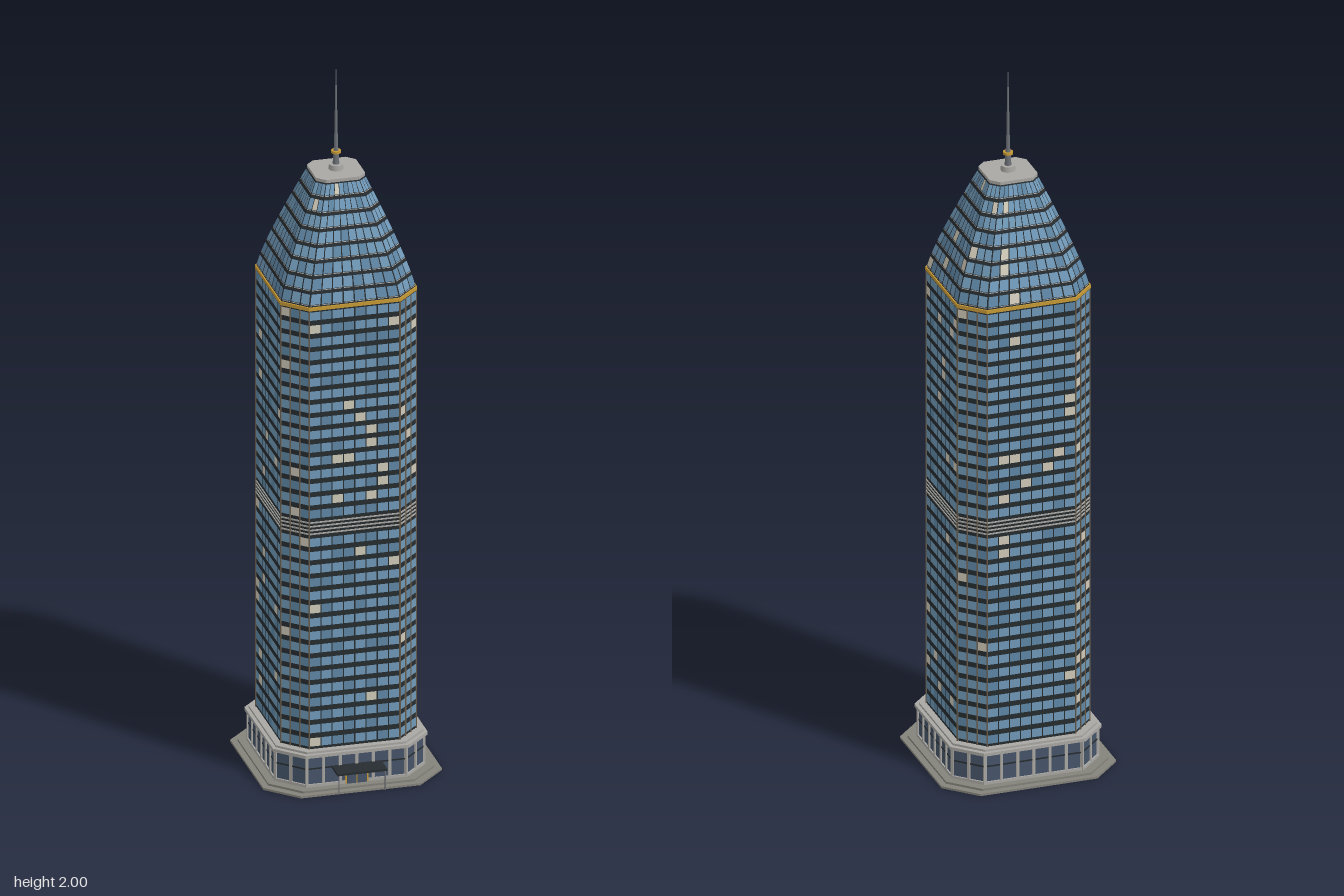
import * as THREE from 'three';

const mat = (name, color) => {
  const m = new THREE.MeshStandardMaterial({ color });
  m.name = name;
  return m;
};

export function createModel() {
  const model = new THREE.Group();
  model.name = 'skyscraper';
  const tower = new THREE.Group();
  tower.name = 'tower';
  tower.position.z = -0.0105;
  model.add(tower);

  const M = {
    plaza: mat('plazaStone', 0x85837b),
    stone: mat('paleStone', 0xa9a8a4),
    frame: mat('darkFrame', 0x262c30),
    glass: mat('blueGlass', 0x7099b8),
    glass2: mat('deepBlueGlass', 0x5f87a6),
    lit: mat('litWindow', 0xcfc9b8),
    lobby: mat('lobbyGlass', 0x46556a),
    gold: mat('gold', 0xc79a35),
    bronze: mat('bronze', 0x6e6251),
    metal: mat('spireMetal', 0x6c7076),
  };

  let seed = 7;
  const rand = () => (seed = (seed * 16807) % 2147483647) / 2147483647;

  const add = (name, geo, material, x = 0, y = 0, z = 0, parent = tower) => {
    const m = new THREE.Mesh(geo, material);
    m.name = name;
    m.position.set(x, y, z);
    parent.add(m);
    return m;
  };

  // Chamfered square outline, starting at the front left
  const ring = (h, y, cut = 0.33) => {
    const c = h * (1 - cut);
    return [[-c, h], [c, h], [h, c], [h, -c], [c, -h], [-c, -h], [-h, -c], [-h, c]]
      .map(([x, z]) => new THREE.Vector3(x, y, z));
  };
  const toGeometry = (points) => {
    const g = new THREE.BufferGeometry().setFromPoints(points);
    g.computeVertexNormals();
    return g;
  };
  const quad = (out, a, b, c, d) => out.push(a, b, c, a, c, d);

  // Closed solid through a stack of outlines
  const loft = (rings) => {
    const out = [];
    for (let k = 0; k < rings.length - 1; k++)
      for (let i = 0; i < 8; i++) {
        const j = (i + 1) % 8;
        quad(out, rings[k][i], rings[k][j], rings[k + 1][j], rings[k + 1][i]);
      }
    const lo = rings[0], hi = rings[rings.length - 1];
    for (let i = 1; i < 7; i++) out.push(hi[0], hi[i], hi[i + 1], lo[0], lo[i + 1], lo[i]);
    return toGeometry(out);
  };
  const slab = (name, h, y0, y1, material, cut) =>
    add(name, loft([ring(h, y0, cut), ring(h, y1, cut)]), material);

  // A pane lying just outside one wall, between fractions u and v of that wall
  const pane = (out, lo, hi, i, u0, u1, v0, v1, lift = 0.0012) => {
    const j = (i + 1) % 8;
    const at = (u, v) => lo[i].clone().lerp(lo[j], u).lerp(hi[i].clone().lerp(hi[j], u), v);
    const p = [at(u0, v0), at(u1, v0), at(u1, v1), at(u0, v1)];
    const n = p[1].clone().sub(p[0]).cross(p[3].clone().sub(p[0])).setLength(lift);
    quad(out, ...p.map((q) => q.add(n)));
  };
  const bays = (i) => (i % 2 ? 3 : 8);
  const windows = { glass: [], glass2: [], lit: [] };
  const glaze = (lo, hi, v0, v1, gap) => {
    for (let i = 0; i < 8; i++)
      for (let b = 0, n = bays(i); b < n; b++) {
        const r = rand();
        const kind = r < 0.045 ? 'lit' : r < 0.35 ? 'glass2' : 'glass';
        pane(windows[kind], lo, hi, i, (b + gap) / n, (b + 1 - gap) / n, v0, v1);
      }
  };

  // Stepped plaza
  slab('plazaLower', 0.247, 0, 0.006, M.plaza);
  slab('plazaUpper', 0.23, 0.006, 0.012, M.plaza);

  // Podium with glazing, piers and cornice
  slab('podiumGlass', 0.205, 0.012, 0.1, M.lobby);
  slab('podiumPlinth', 0.209, 0.012, 0.02, M.stone);
  slab('podiumTransom', 0.2065, 0.062, 0.066, M.frame);
  slab('podiumCornice', 0.214, 0.098, 0.107, M.stone);
  slab('podiumRoof', 0.204, 0.107, 0.113, M.stone);
  const wall = ring(0.205, 0.055);
  for (let i = 0; i < 8; i++) {
    const a = wall[i], b = wall[(i + 1) % 8], n = i % 2 ? 2 : 6;
    for (let k = 0; k < n; k++) {
      const p = a.clone().lerp(b, k / n);
      const pier = add('podiumPier', new THREE.BoxGeometry(0.008, 0.088, 0.008), M.stone, p.x, 0.056, p.z);
      pier.rotation.y = (i * Math.PI) / 4;
    }
  }

  // Main entrance and canopy
  add('entranceFrame', new THREE.BoxGeometry(0.064, 0.04, 0.008), M.gold, 0, 0.032, 0.206);
  for (const s of [-1, 1])
    add('entranceDoor', new THREE.BoxGeometry(0.025, 0.032, 0.006), M.lobby, s * 0.0145, 0.028, 0.2085);
  add('canopy', new THREE.BoxGeometry(0.138, 0.006, 0.062), M.frame, 0, 0.064, 0.2345);
  for (const s of [-1, 1])
    add('canopyPost', new THREE.CylinderGeometry(0.0018, 0.0018, 0.058, 6), M.metal, s * 0.064, 0.034, 0.2615);

  // Shaft: dark core carrying two blocks of 16 floors around a plant level
  const H = 0.186, base = 0.113, top = 1.392, mid0 = 0.733, mid1 = 0.777;
  slab('shaftCore', H, base, top, M.frame);
  for (const [y0, y1] of [[base, mid0], [mid1, top]]) {
    const step = (y1 - y0) / 16;
    for (let f = 0; f < 16; f++)
      glaze(ring(H, y0 + f * step), ring(H, y0 + (f + 1) * step), 0.2, 0.83, 0.05);
  }

  // Plant level louvres
  for (let k = 0; k < 4; k++)
    slab('plantLouvre', H + 0.002, mid0 + 0.004 + k * 0.011, mid0 + 0.008 + k * 0.011, M.stone);

  // Slender fins on the chamfered corners
  const edge = ring(H + 0.001, 0);
  for (let i = 1; i < 8; i += 2)
    for (let k = 0; k <= 3; k++) {
      const p = edge[i].clone().lerp(edge[(i + 1) % 8], k / 3);
      const fin = add('cornerFin', new THREE.BoxGeometry(0.003, top - base, 0.004), M.bronze, p.x, (top + base) / 2, p.z);
      fin.rotation.y = (i * Math.PI) / 4;
    }

  // Gold belt under the crown
  slab('goldBelt', 0.1895, 1.39, 1.4, M.gold);

  // Tapering crown with a slightly bowed profile
  const tiers = 8, crown = [];
  for (let k = 0; k <= tiers; k++) {
    const t = k / tiers;
    crown.push(ring(0.186 - 0.119 * Math.pow(t, 1.18), 1.4 + 0.305 * t));
  }
  add('crownCore', loft(crown), M.frame);
  const sills = [];
  for (let k = 0; k < tiers; k++) {
    glaze(crown[k], crown[k + 1], 0.16, 0.86, 0.06);
    for (let i = 0; i < 8; i++)
      for (let b = 0, n = bays(i); b < n; b++)
        pane(sills, crown[k], crown[k + 1], i, (b + 0.08) / n, (b + 0.92) / n, 0.08, 0.13);
  }
  add('crownSills', toGeometry(sills), M.stone);
  for (const kind in windows) add(kind + 'Windows', toGeometry(windows[kind]), M[kind]);

  // Roof deck
  slab('roofDeck', 0.068, 1.703, 1.712, M.stone);

  // Spire
  const rod = (name, r1, r0, y0, y1, m) =>
    add(name, new THREE.CylinderGeometry(r1, r0, y1 - y0, 16), m, 0, (y0 + y1) / 2, 0);
  rod('spireBase', 0.019, 0.02, 1.712, 1.727, M.stone);
  rod('spireMast', 0.007, 0.009, 1.727, 1.772, M.metal);
  rod('spireCollar', 0.0135, 0.0135, 1.759, 1.766, M.gold);
  rod('spireNeck', 0.0045, 0.006, 1.772, 1.82, M.metal);
  rod('spireNeedle', 0.0012, 0.0045, 1.82, 2, M.metal);

  return model;
}
